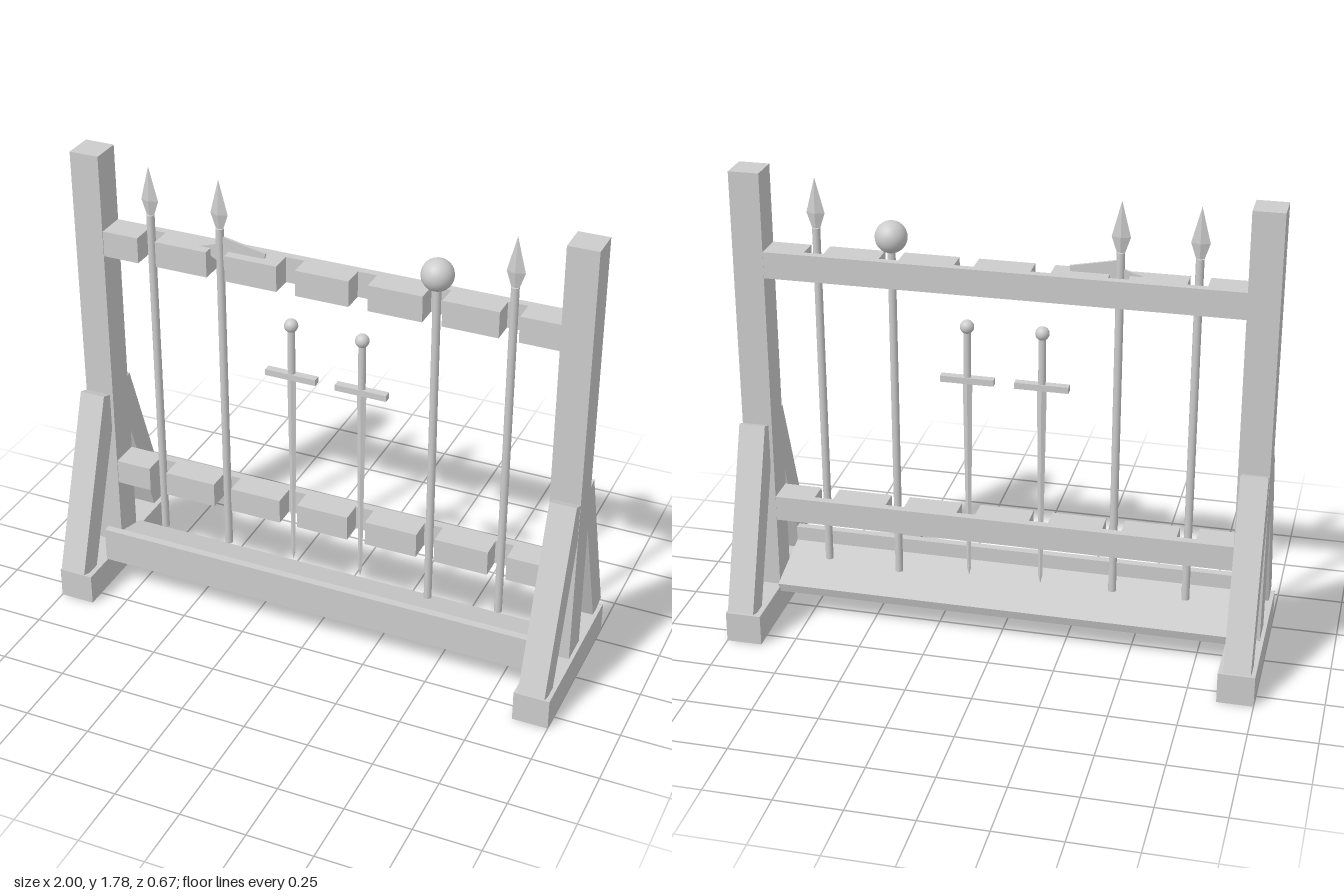
import * as THREE from 'three';

const grey = new THREE.MeshStandardMaterial({ color: 0xcccccc });
grey.name = 'plain grey';

function add(parent, name, geometry, x = 0, y = 0, z = 0) {
  const mesh = new THREE.Mesh(geometry, grey);
  mesh.name = name;
  mesh.position.set(x, y, z);
  parent.add(mesh);
  return mesh;
}
const box = (w, h, d) => new THREE.BoxGeometry(w, h, d);

function group(parent, name, x = 0, z = 0) {
  const g = new THREE.Group();
  g.name = name;
  g.position.set(x, 0, z);
  parent.add(g);
  return g;
}

// Four-sided flat blade: profile of [halfWidth, y] pairs from bottom to top, thinned in z
function blade(profile, thin) {
  const g = new THREE.LatheGeometry(profile.map(([r, y]) => new THREE.Vector2(r, y)), 4);
  g.scale(1, 1, thin);
  const flat = g.toNonIndexed();
  flat.computeVertexNormals();
  return flat;
}

const SLOTS = [-0.695, -0.418, -0.142, 0.135, 0.411, 0.69];
const WEAPON_Z = 0.01;

// Rail with slots cut into its front side (outline drawn in x and -z)
function railGeometry(height) {
  const back = -0.061, front = 0.053, slotBack = -0.03, half = 0.036, end = 0.875;
  const s = new THREE.Shape();
  s.moveTo(end, -back);
  s.lineTo(-end, -back);
  s.lineTo(-end, -front);
  for (const x of SLOTS) {
    s.lineTo(x - half, -front);
    s.lineTo(x - half, -slotBack);
    s.lineTo(x + half, -slotBack);
    s.lineTo(x + half, -front);
  }
  s.lineTo(end, -front);
  const g = new THREE.ExtrudeGeometry(s, { depth: height, bevelEnabled: false });
  g.rotateX(-Math.PI / 2);
  return g;
}

function pole(parent, bottom, top) {
  add(parent, 'pole', new THREE.CylinderGeometry(0.015, 0.015, top - bottom, 12), 0, (top + bottom) / 2, 0);
}

function spear(parent, name, x) {
  const g = group(parent, name, x, WEAPON_Z);
  pole(g, 0.22, 1.568);
  add(g, 'spearhead', blade([[0, 1.565], [0.014, 1.565], [0.034, 1.625], [0, 1.757]], 0.4));
  return g;
}

function sword(parent, x) {
  const g = group(parent, 'sword', x, WEAPON_Z);
  add(g, 'pommel', new THREE.SphereGeometry(0.026, 16, 12), 0, 1.237, 0);
  add(g, 'grip', new THREE.CylinderGeometry(0.014, 0.014, 0.19, 12), 0, 1.127, 0);
  add(g, 'guard', box(0.2, 0.024, 0.03), 0, 1.029, 0);
  add(g, 'blade', blade([[0, 0.215], [0.008, 0.25], [0.018, 1.02], [0, 1.02]], 0.5));
}

function plate(points, depth) {
  const s = new THREE.Shape(points.map(([x, y]) => new THREE.Vector2(x, y)));
  const g = new THREE.ExtrudeGeometry(s, { depth, bevelEnabled: false });
  g.translate(0, 0, -depth / 2);
  return g;
}

export function createModel() {
  const model = new THREE.Group();
  model.name = 'weaponRack';

  // End frames: foot, post and two slanted braces on each side
  for (const side of [-1, 1]) {
    const frame = group(model, side > 0 ? 'leftFrame' : 'rightFrame');
    add(frame, 'foot', box(0.135, 0.12, 0.64), side * 0.9325, 0.06, 0);
    add(frame, 'post', box(0.114, 1.665, 0.118), side * 0.929, 0.9475, -0.003);
    for (const f of [-1, 1]) {
      const brace = add(frame, f > 0 ? 'frontBrace' : 'backBrace', box(0.1, 0.715, 0.097), side * 0.935, 0.457, f * 0.172);
      brace.rotation.x = -f * 0.335;
    }
  }

  // Slotted rails
  add(model, 'upperRail', railGeometry(0.1), 0, 1.385, 0);
  add(model, 'lowerRail', railGeometry(0.098), 0, 0.4, 0);

  // Sloping tray with front board
  add(model, 'trayBoard', box(1.74, 0.138, 0.03), 0, 0.189, 0.169);
  const shelf = add(model, 'trayShelf', box(1.74, 0.037, 0.255), 0, 0.15, 0.04);
  shelf.rotation.x = -0.266;

  // Weapons
  spear(model, 'spear', SLOTS[0]);
  spear(model, 'spear', SLOTS[5]);
  const halberd = spear(model, 'halberd', SLOTS[1]);
  add(halberd, 'axeBlade', plate([[0, 1.425], [0.158, 1.366], [0.18, 1.505], [0.016, 1.537], [0, 1.53]], 0.01));
  add(halberd, 'backSpike', plate([[0, 1.51], [-0.09, 1.483], [0, 1.435]], 0.01));
  sword(model, SLOTS[2]);
  sword(model, SLOTS[3]);
  const mace = group(model, 'mace', SLOTS[4], WEAPON_Z);
  pole(mace, 0.2, 1.52);
  add(mace, 'ballHead', new THREE.SphereGeometry(0.059, 24, 16), 0, 1.557, 0);

  return model;
}
